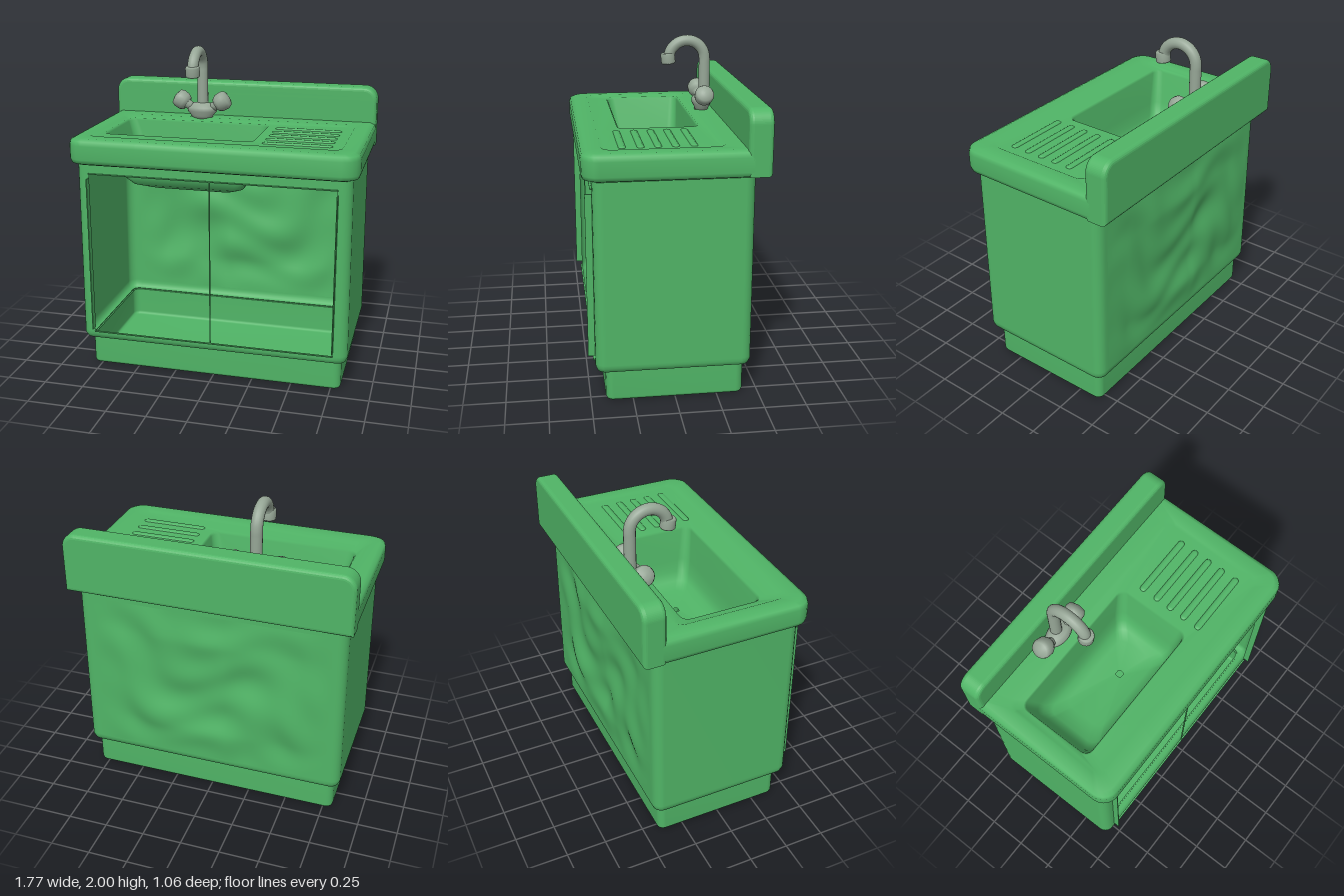
import * as THREE from 'three';

const green = new THREE.MeshStandardMaterial({ color: 0x50b466, side: THREE.DoubleSide });
green.name = 'green enamel';
const metal = new THREE.MeshStandardMaterial({ color: 0x96a696 });
metal.name = 'grey metal';

const CORNER = 6; // points per rounded corner

// Rounded rectangle loop in the xz plane; two extra points split the front and back edges
function loop([x0, x1, z0, z1, r, y], split) {
  const pts = [];
  const mid = (x0 + x1) / 2, half = ((x1 - x0) / 2) * split;
  const centres = [[x1 - r, z1 - r], [x0 + r, z1 - r], [x0 + r, z0 + r], [x1 - r, z0 + r]];
  centres.forEach(([cx, cz], c) => {
    for (let i = 0; i < CORNER; i++) {
      const a = (c + i / (CORNER - 1)) * Math.PI / 2;
      pts.push([cx + r * Math.cos(a), y, cz + r * Math.sin(a)]);
    }
    if (c === 0) pts.push([mid + half, y, z1], [mid - half, y, z1]);
    if (c === 2) pts.push([mid - half, y, z0], [mid + half, y, z0]);
  });
  return pts;
}

// Skin through a stack of loops; openRow leaves out the front and back panels of that row
function loft(rows, split = 0.5, openRow = -1) {
  const loops = rows.map((r) => loop(r, split));
  const n = loops[0].length, index = [];
  for (let j = 0; j < rows.length - 1; j++) {
    for (let i = 0; i < n; i++) {
      if (j === openRow && (i === CORNER || i === 3 * CORNER + 2)) continue;
      const k = (i + 1) % n;
      const a = j * n + i, b = j * n + k, c = b + n, d = a + n;
      index.push(a, d, c, a, c, b);
    }
  }
  const g = new THREE.BufferGeometry();
  g.setAttribute('position', new THREE.Float32BufferAttribute(loops.flat(2), 3));
  g.setIndex(index);
  g.computeVertexNormals();
  return g;
}

export function createModel() {
  const model = new THREE.Group();
  model.name = 'kitchenSink';
  const add = (name, geometry, material, x = 0, y = 0, z = 0, parent = model) => {
    const m = new THREE.Mesh(geometry, material);
    m.name = name;
    m.position.set(x, y, z);
    parent.add(m);
    return m;
  };

  // Plinth: an open tray
  add('plinth', loft([
    [-0.01, 0.01, -0.01, 0.01, 0.005, 0],
    [-0.79, 0.79, -0.39, 0.39, 0.03, 0],
    [-0.805, 0.805, -0.405, 0.405, 0.04, 0.006],
    [-0.81, 0.81, -0.41, 0.41, 0.045, 0.02],
    [-0.81, 0.81, -0.41, 0.41, 0.045, 0.2],
  ]), green);

  // Cabinet: hollow shell, open at the front
  add('cabinet', loft([
    [-0.80, 0.80, -0.40, 0.40, 0.04, 0.195],
    [-0.82, 0.82, -0.42, 0.44, 0.04, 0.195],
    [-0.84, 0.84, -0.44, 0.46, 0.055, 0.205],
    [-0.85, 0.85, -0.45, 0.47, 0.06, 0.23],
    [-0.85, 0.85, -0.45, 0.47, 0.06, 0.25],
    [-0.845, 0.845, -0.45, 0.47, 0.06, 1.3],
    [-0.845, 0.845, -0.45, 0.47, 0.06, 1.365],
  ], 0.9, 4), green);

  // Rippled back panel
  const back = new THREE.PlaneGeometry(1.53, 1.05, 60, 44);
  back.rotateY(Math.PI);
  const p = back.attributes.position;
  for (let i = 0; i < p.count; i++) {
    const x = p.getX(i), y = p.getY(i);
    const edge = Math.min(1, Math.max(0, 0.765 - Math.abs(x)) * 5) * Math.min(1, Math.max(0, 0.525 - Math.abs(y)) * 5);
    const fold = Math.sin(9 * y - 8 * Math.abs(x + 0.1) + 1.5 * Math.sin(5 * x));
    const ripple = Math.sin(17 * y - 7 * x + 2 * Math.sin(6 * x + 3 * y)) * Math.sin(7 * x + 4 * y);
    p.setZ(i, -edge * (0.006 + 0.012 * fold + 0.011 * ripple));
  }
  back.computeVertexNormals();
  add('backPanel', back, green, 0, 0.775, -0.45);

  // Door rims: thin sides, top and bottom edges and the centre gap strip
  for (const s of [-1, 1]) {
    add('doorRimSide', new THREE.BoxGeometry(0.006, 0.99, 0.042), green, s * 0.764, 0.775, 0.489);
    add('doorRimEdge', new THREE.BoxGeometry(1.53, 0.006, 0.012), green, 0, 0.775 + s * 0.523, 0.474);
  }
  add('doorCentreStrip', new THREE.BoxGeometry(0.006, 1.05, 0.008), green, 0, 0.775, 0.472);

  // Worktop: underside, rounded edge, shallow recess and basin in one skin
  add('worktopAndBasin', loft([
    [-0.80, 0.80, -0.42, 0.44, 0.06, 1.36],
    [-0.855, 0.855, -0.50, 0.50, 0.08, 1.36],
    [-0.877, 0.877, -0.518, 0.522, 0.095, 1.37],
    [-0.885, 0.885, -0.525, 0.53, 0.1, 1.395],
    [-0.885, 0.885, -0.525, 0.53, 0.1, 1.48],
    [-0.877, 0.877, -0.518, 0.522, 0.095, 1.507],
    [-0.85, 0.85, -0.50, 0.495, 0.08, 1.52],
    [-0.785, 0.77, -0.29, 0.41, 0.06, 1.52],
    [-0.765, 0.75, -0.27, 0.39, 0.05, 1.508],
    [-0.735, 0.22, -0.225, 0.275, 0.05, 1.508],
    [-0.725, 0.21, -0.217, 0.265, 0.05, 1.495],
    [-0.67, 0.18, -0.205, 0.24, 0.06, 1.3],
    [-0.645, 0.165, -0.19, 0.225, 0.06, 1.22],
    [-0.59, 0.13, -0.165, 0.20, 0.06, 1.17],
    [-0.48, 0.07, -0.12, 0.15, 0.06, 1.143],
    [-0.14, -0.10, 0, 0.04, 0.01, 1.13],
  ]), green);

  // Draining ridges
  const ridge = new THREE.CapsuleGeometry(0.022, 0.38, 4, 10);
  ridge.rotateZ(Math.PI / 2).scale(1, 0.5, 1);
  for (const z of [-0.12, -0.015, 0.085, 0.185, 0.29]) add('drainRidge', ridge, green, 0.49, 1.506, z);

  // Splashback with rounded top corners
  const w = 0.86, h0 = 1.39, h1 = 1.72, r = 0.06;
  const s = new THREE.Shape();
  s.moveTo(-w, h0);
  s.lineTo(w, h0);
  s.lineTo(w, h1 - r);
  s.absarc(w - r, h1 - r, r, 0, Math.PI / 2);
  s.lineTo(-w + r, h1);
  s.absarc(-w + r, h1 - r, r, Math.PI / 2, Math.PI);
  s.lineTo(-w, h0);
  add('splashback', new THREE.ExtrudeGeometry(s, {
    depth: 0.09, bevelSize: 0.025, bevelThickness: 0.025, bevelSegments: 4, curveSegments: 8,
  }), green, 0, 0, -0.505);

  // Tap: body, swan-neck spout, nozzle and two angled handles
  const tap = new THREE.Group();
  tap.name = 'tap';
  tap.position.set(-0.26, 0, 0);
  model.add(tap);
  const lathe = (pts) => new THREE.LatheGeometry(pts.map(([x, y]) => new THREE.Vector2(x, y)), 24);
  const body = add('tapBody', lathe([[0, 0], [0.07, 0], [0.075, 0.02], [0.1, 0.05], [0.1, 0.075], [0.07, 0.1], [0, 0.108]]),
    metal, 0, 1.51, -0.32, tap);
  body.scale.z = 0.62;

  const path = [[1.56, -0.337], [1.7, -0.337], [1.82, -0.337]];
  for (let i = 0; i <= 8; i++) {
    const a = (i / 8) * Math.PI * 0.97;
    path.push([1.85 + 0.115 * Math.sin(a), -0.22 - 0.117 * Math.cos(a)]);
  }
  const curve = new THREE.CatmullRomCurve3(path.map(([y, z]) => new THREE.Vector3(0, y, z)));
  add('spout', new THREE.TubeGeometry(curve, 48, 0.036, 16), metal, 0, 0, 0, tap);
  const nozzle = add('nozzle', lathe([[0, -0.035], [0.04, -0.035], [0.046, -0.028], [0.046, 0.025], [0.04, 0.034], [0, 0.034]]),
    metal, 0, 1.853, -0.098, tap);
  nozzle.rotation.x = 0.12;

  const knob = lathe([[0, -0.1], [0.03, -0.1], [0.03, -0.045], [0.045, -0.045], [0.06, -0.02], [0.062, 0.02], [0.052, 0.042], [0.02, 0.052], [0, 0.053]]);
  for (const side of [-1, 1]) {
    const handle = add('tapHandle', knob, metal, side * 0.137, 1.628, -0.315, tap);
    handle.rotation.z = -side * 1.0;
  }
  return model;
}
